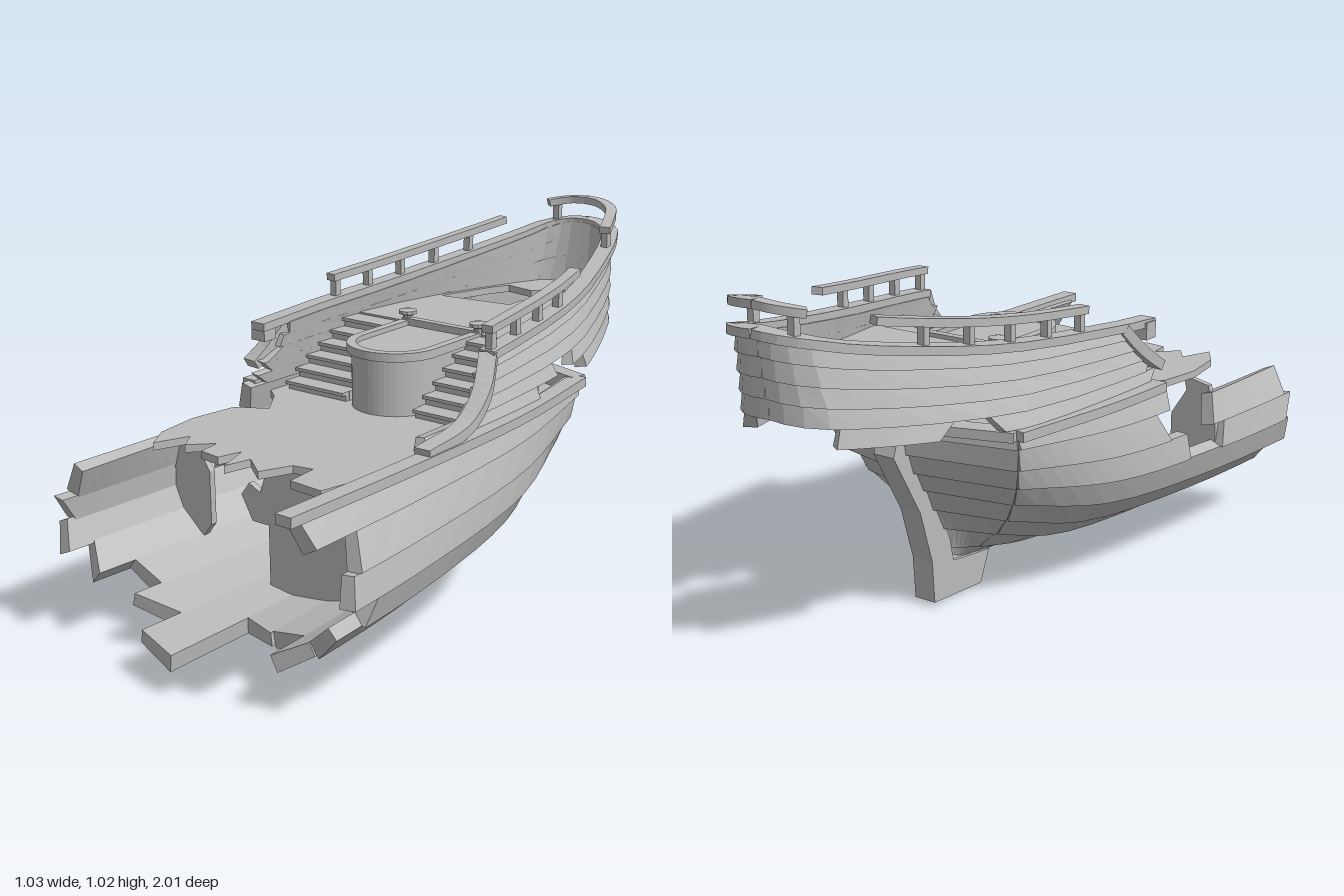
import * as THREE from 'three';

const V = (x, y, z) => new THREE.Vector3(x, y, z);
const lerp = THREE.MathUtils.lerp;

export function createModel() {
  const root = new THREE.Group();
  root.name = 'brokenShipStern';
  const ship = new THREE.Group();
  ship.name = 'ship';
  ship.position.x = 0.018;
  root.add(ship);
  const wood = new THREE.MeshStandardMaterial({ color: 0xbababa });
  wood.name = 'weatheredGrey';

  let seed = 7;
  const rand = () => ((seed = (seed * 16807) % 2147483647) / 2147483647) * 2 - 1;

  const add = (geo, name, parent = ship) => {
    const m = new THREE.Mesh(geo, wood);
    m.name = name;
    parent.add(m);
    return m;
  };
  const box = (w, h, d, x, y, z, name, parent) =>
    add(new THREE.BoxGeometry(w, h, d), name, parent).position.set(x, y, z);

  // Solid bar through four-cornered rings, with flat faces and closed ends
  const loft = (rings, flip) => {
    const pos = [];
    const tri = (a, b, c) => (flip ? [a, c, b] : [a, b, c]).forEach(p => pos.push(p.x, p.y, p.z));
    const quad = (a, b, c, d) => { tri(a, b, c); tri(a, c, d); };
    for (let i = 0; i + 1 < rings.length; i++) {
      const p = rings[i], q = rings[i + 1];
      for (let j = 0; j < 4; j++) quad(p[j], q[j], q[(j + 1) % 4], p[(j + 1) % 4]);
    }
    quad(...rings[0]);
    quad(...[...rings[rings.length - 1]].reverse());
    const g = new THREE.BufferGeometry();
    g.setAttribute('position', new THREE.Float32BufferAttribute(pos, 3));
    g.computeVertexNormals();
    return g;
  };
  const mirror = (p, s) => V(p.x * s, p.y, p.z);

  // Curve parameter at a given z (z falls along every curve); null is the after end
  const uAt = (curve, z) => {
    if (z === null) return 1;
    let a = 0, b = 1;
    for (let i = 0; i < 24; i++) {
      const m = (a + b) / 2;
      if (curve.getPoint(m).z > z) a = m; else b = m;
    }
    return a;
  };

  // Lapped plank between two edge curves, with splintered ends
  const plank = (lo, hi, z0, z1, s, name, parent, thick = 0.038) => {
    const j0 = rand() * 0.03, j1 = rand() * 0.03;
    const a0 = uAt(lo, z0 + j0), b0 = uAt(hi, z0 - j0);
    const a1 = uAt(lo, z1 === null ? null : z1 + j1), b1 = uAt(hi, z1 === null ? null : z1 - j1);
    const rings = [], n = 11;
    for (let i = 0; i <= n; i++) {
      const ua = lerp(a0, a1, i / n), ub = lerp(b0, b1, i / n);
      const A = lo.getPoint(ua), B = hi.getPoint(ub);
      const nrm = lo.getTangent(ua).cross(B.clone().sub(A)).normalize();
      const at = (p, d) => mirror(p.clone().addScaledVector(nrm, d), s);
      rings.push([at(A, 0.01), at(B, 0), at(B, -thick), at(A, -thick)]);
    }
    add(loft(rings, s < 0), name, parent);
  };

  // Rectangular rail following a curve, raised by dy
  const rail = (curve, z0, z1, s, dy, w, h, name, parent) => {
    const u0 = uAt(curve, z0), u1 = uAt(curve, z1), rings = [], n = 14;
    for (let i = 0; i <= n; i++) {
      const u = lerp(u0, u1, i / n), p = curve.getPoint(u), t = curve.getTangent(u);
      const out = t.clone().cross(V(0, 1, 0)).normalize(), up = out.clone().cross(t).normalize();
      const at = (a, b) => mirror(p.clone().addScaledVector(out, a * w / 2).addScaledVector(up, b * h / 2).add(V(0, dy, 0)), s);
      rings.push([at(1, -1), at(1, 1), at(-1, 1), at(-1, -1)]);
    }
    add(loft(rings, s < 0), name, parent);
  };

  // Lower hull edges: fore y, half widths at z = 1, .5, 0 and at the chine, then sternpost y and z
  const hullTable = [
    [0.085, 0.0, 0.0, 0.0, 0.0, 0.10, -0.30],
    [0.10, 0.15, 0.13, 0.09, 0.07, 0.17, -0.31],
    [0.135, 0.29, 0.26, 0.20, 0.15, 0.24, -0.33],
    [0.19, 0.40, 0.36, 0.29, 0.215, 0.31, -0.37],
    [0.26, 0.48, 0.44, 0.365, 0.265, 0.38, -0.41],
    [0.34, 0.515, 0.475, 0.41, 0.305, 0.44, -0.45],
    [0.42, 0.505, 0.47, 0.42, 0.33, 0.50, -0.48],
    [0.51, 0.46, 0.445, 0.415, 0.345, 0.56, -0.50],
    [0.60, 0.41, 0.415, 0.40, 0.345, 0.60, -0.51],
  ];
  const chine = ([y, , , , d, ys, zs]) => V(d, lerp(y, ys, 0.8), zs + 0.11);
  const hullEdges = hullTable.map(r => new THREE.CatmullRomCurve3([
    V(r[1], r[0], 1.02), V(r[2], lerp(r[0], r[5], 0.03), 0.5), V(r[3], lerp(r[0], r[5], 0.25), 0), chine(r)]));
  const transomEdges = hullTable.map(r => new THREE.LineCurve3(chine(r), V(0, r[5], r[6])));

  // Surviving side planks per row, [fore z, aft z]; null reaches the chine
  const hullRuns = {
    1: [[[0.72, -0.08]], [[0.75, -0.11]], [[0.88, -0.18]], [[0.87, -0.19]],
      [[0.76, -0.24]], [[0.85, null]], [[0.8, null]], [[0.95, null]]],
    [-1]: [[[0.96, null]], [[0.82, null]], [[0.75, null]], [[0.85, null]],
      [[0.9, null]], [[0.88, 0.5], [0.32, null]], [[0.86, 0.46], [0.2, null]], [[0.24, null]]],
  };
  // Transom planks start at this z on each side; 1 is the whole width
  const transomStart = { 1: [-0.23, -0.25, -0.27, -0.31, -0.34, 1, 1, 1], [-1]: [1, 1, 1, 1, 1, 1, 1, 1] };
  for (const s of [1, -1]) {
    const side = new THREE.Group();
    side.name = s > 0 ? 'leftHull' : 'rightHull';
    ship.add(side);
    hullRuns[s].forEach((runs, k) => runs.forEach(([a, b]) =>
      plank(hullEdges[k], hullEdges[k + 1], a, b, s, 'hullPlank', side)));
    transomStart[s].forEach((z, k) =>
      plank(transomEdges[k], transomEdges[k + 1], z, null, s, 'transomPlank', side, 0.03));
    rail(hullEdges[8], s > 0 ? 0.995 : 0.22, null, s, -0.01, 0.05, 0.028, 'gunwale', side);
    rail(transomEdges[8], 1, null, s, -0.01, 0.05, 0.028, 'transomRail', side);
  }

  // Upper works: lower and upper half width, z, lower y, upper y, lower rake
  const upper = [
    [0.385, 0.36, 0.45, 0.60, 0.765, 0], [0.385, 0.36, 0.2, 0.60, 0.77, 0], [0.38, 0.35, 0, 0.60, 0.785, 0],
    [0.355, 0.315, -0.3, 0.60, 0.808, 0], [0.31, 0.275, -0.5, 0.61, 0.832, 0.01], [0.24, 0.215, -0.7, 0.625, 0.865, 0.02],
    [0.18, 0.163, -0.85, 0.64, 0.895, 0.03], [0.138, 0.118, -0.94, 0.65, 0.92, 0.04],
    [0.068, 0.056, -0.98, 0.655, 0.932, 0.045], [0, 0, -0.985, 0.66, 0.936, 0.045],
  ];
  const upperEdges = [0, 0.2, 0.4, 0.6, 0.8, 1].map(f => new THREE.CatmullRomCurve3(upper.map(([x0, x1, z, y0, y1, r]) =>
    V(lerp(x0, x1, f), lerp(y0, y1, f), z + r * (1 - f)))));
  const top = upperEdges[5];
  const upperRuns = {
    1: [[[0.42, -0.14], [-0.48, -0.9]], [[0.21, -0.25], [-0.38, null]], [[0.16, null]], [[0.13, null]], [[0.1, null]]],
    [-1]: [[[0.22, -0.45], [-0.6, -0.88]], [[0.2, null]], [[0.17, null]], [[0.15, null]], [[0.12, null]]],
  };
  for (const s of [1, -1]) {
    const side = new THREE.Group();
    side.name = s > 0 ? 'leftBulwark' : 'rightBulwark';
    ship.add(side);
    upperRuns[s].forEach((runs, k) => runs.forEach(([a, b]) =>
      plank(upperEdges[k], upperEdges[k + 1], a, b, s, 'bulwarkPlank', side, 0.028)));
    rail(top, s > 0 ? 0.1 : 0.23, null, s, 0.005, 0.05, 0.024, 'capRail', side);
    // Sweeping rail down to the main deck
    const sweep = new THREE.CatmullRomCurve3([V(0.41, 0.605, 0.47), V(0.405, 0.63, 0.27), V(0.39, 0.69, 0.17), V(0.356, 0.78, 0.09)]);
    rail(sweep, s > 0 ? 0.46 : 0.22, null, s, 0, 0.05, 0.03, 'sweptRail', side);
    // Broken handrail and its balusters
    const runs = s > 0 ? [[0.1, -0.46], [-0.8, null]] : [[-0.08, -0.78], [-0.94, null]];
    for (const [a, b] of runs) {
      rail(top, a, b, s, 0.076, 0.034, 0.022, 'handrail', side);
      const end = b === null ? -0.975 : b, n = Math.max(1, Math.round((a - end) / 0.13));
      for (let i = 0; i < n; i++) {
        const p = top.getPoint(uAt(top, lerp(a - 0.02, end, i / n)));
        box(0.022, 0.08, 0.022, p.x * s, p.y + 0.038, p.z, 'baluster', side);
      }
    }
  }
  box(0.05, 0.05, 0.05, -0.365, 0.755, 0.2, 'railEndPost');

  // Horizontal slab from an (x, z) outline
  const shapeOf = pts => new THREE.Shape(pts.map(([x, z]) => new THREE.Vector2(x, -z)));
  const slab = (shape, y, h, name) => {
    const g = new THREE.ExtrudeGeometry(shape, { depth: h, bevelEnabled: false, curveSegments: 12 });
    g.rotateX(-Math.PI / 2).translate(0, y, 0);
    return add(g, name);
  };

  // Main deck with a splintered fore edge
  slab(shapeOf([[0, -0.48], [0.32, -0.38], [0.38, 0], [0.39, 0.4], [0.39, 0.68],
    [0.32, 0.63], [0.3, 0.73], [0.19, 0.72], [0.18, 0.62], [0.12, 0.63], [0.08, 0.72], [0.0, 0.66],
    [-0.02, 0.74], [-0.06, 0.63], [-0.08, 0.7], [-0.15, 0.69], [-0.16, 0.62], [-0.22, 0.68], [-0.26, 0.62],
    [-0.3, 0.72], [-0.35, 0.64], [-0.37, 0.5], [-0.35, 0.35], [-0.26, 0.3], [-0.33, 0.2], [-0.38, 0.16],
    [-0.38, 0], [-0.32, -0.38]]), 0.54, 0.022, 'mainDeck');

  // Quarterdeck with a hole broken through it
  const mid = upperEdges[3];
  const rim = [-0.18, -0.3, -0.5, -0.7, -0.85, -0.93].map(z => [mid.getPoint(uAt(mid, z)).x - 0.015, z]);
  const quarter = shapeOf([...rim, ...rim.map(([x, z]) => [-x, z]).reverse()]);
  quarter.holes.push(new THREE.Path([[-0.24, -0.51], [0, -0.54], [0, -0.61], [0.07, -0.65], [0.07, -0.81],
    [0.01, -0.8], [-0.05, -0.74], [-0.15, -0.76], [-0.18, -0.7]].map(([x, z]) => new THREE.Vector2(x, -z))));
  slab(quarter, 0.722, 0.022, 'quarterdeck');

  // Round-fronted balcony with rims
  const bay = (r, Ctor = THREE.Shape) => {
    const p = new Ctor();
    p.moveTo(-r, 0.19);
    p.lineTo(-r, -0.04);
    p.absarc(0, -0.04, r, Math.PI, Math.PI * 2, false);
    p.lineTo(r, 0.19);
    p.closePath();
    return p;
  };
  slab(bay(0.128), 0.56, 0.175, 'balcony');
  const ring = bay(0.142);
  ring.holes.push(bay(0.115, THREE.Path));
  slab(ring, 0.725, 0.025, 'balconyRim');
  box(0.28, 0.022, 0.025, 0, 0.745, -0.18, 'deckSill');

  // Stairs and newel posts on both sides of the balcony
  for (const s of [1, -1]) {
    for (let i = 0; i < 6; i++) {
      const h = 0.03 * (i + 1), zf = 0.125 - i * 0.047;
      box(0.22, h - 0.01, zf + 0.17, s * 0.237, 0.56 + (h - 0.01) / 2, (zf - 0.19) / 2, 'stairRiser');
      box(0.22, 0.01, zf + 0.18, s * 0.237, 0.555 + h, (zf - 0.17) / 2, 'stairTread');
    }
    box(0.03, 0.03, 0.2, s * 0.14, 0.575, 0.0, 'stairBase');
    const newel = add(new THREE.LatheGeometry([[0, 0], [0.015, 0], [0.015, 0.022], [0.028, 0.027], [0.028, 0.037], [0, 0.042]]
      .map(([x, y]) => new THREE.Vector2(x, y)), 10).toNonIndexed(), 'newelPost');
    newel.geometry.computeVertexNormals();
    newel.position.set(s * 0.13, 0.74, -0.185);
  }

  // Bulkheads cut to the hull section
  const zf = 0.5;
  const section = (k, s = 1) => {
    const p = hullEdges[k].getPoint(uAt(hullEdges[k], zf));
    return [s * Math.max(0, p.x - 0.02), Math.min(0.545, p.y + 0.015)];
  };
  const bulkhead = (pts, name) => {
    const shape = new THREE.Shape(pts.map(p => new THREE.Vector2(...p)));
    const g = new THREE.ExtrudeGeometry(shape, { depth: 0.02, bevelEnabled: false });
    add(g.translate(0, 0, zf - 0.01), name);
  };
  bulkhead([[-0.08, 0.11], ...[0, 1, 2, 3].map(k => section(k)), [0.29, 0.24], [0.33, 0.32],
    [0.41, 0.32], [0.445, 0.42], section(7), [0.4, 0.545], [-0.08, 0.545], [-0.08, 0.48], [-0.11, 0.4],
    [-0.15, 0.42], [-0.18, 0.38], [-0.14, 0.31], [-0.08, 0.31]], 'bulkhead');
  bulkhead([...[7, 6, 5, 4, 3].map(k => section(k, -1)),
    [-0.3, 0.26], [-0.3, 0.42], [-0.35, 0.5], [-0.34, 0.545]], 'bulkheadRemnant');

  // Sternpost and heel in one profile
  const post = new THREE.Shape([[0.10, 0.1], [0.14, 0.005], [0.36, 0.02], [0.37, 0.15], [0.42, 0.31], [0.53, 0.5],
    [0.505, 0.57], [0.47, 0.56], [0.41, 0.42], [0.34, 0.3], [0.29, 0.2], [0.27, 0.12]].map(p => new THREE.Vector2(...p)));
  const postGeo = new THREE.ExtrudeGeometry(post, { depth: 0.07, bevelEnabled: false });
  postGeo.translate(0, 0, -0.035).rotateY(Math.PI / 2);
  add(postGeo, 'sternpost');

  return root;
}
